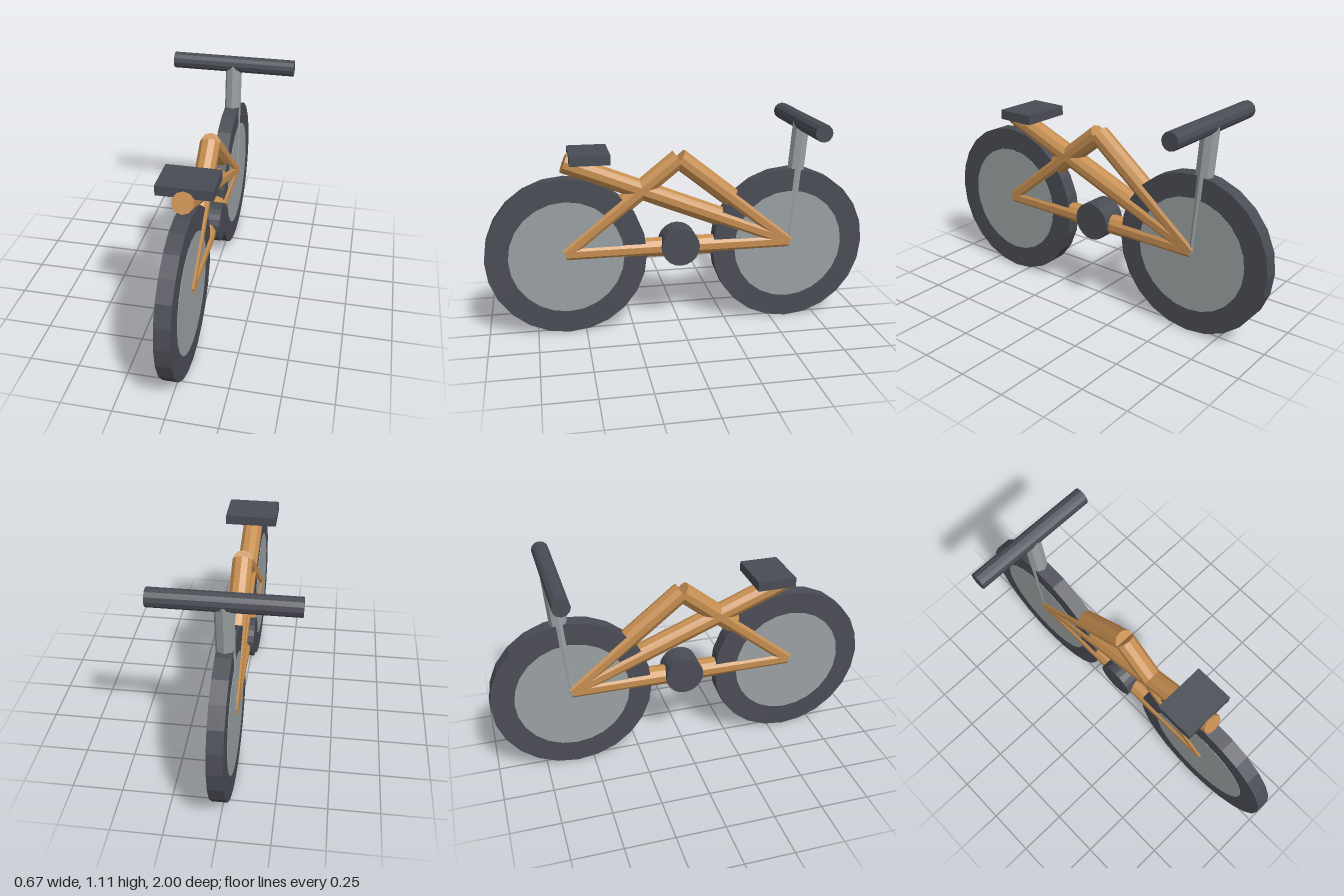
import * as THREE from 'three';

const paint = (color) => new THREE.MeshStandardMaterial({ color, flatShading: true });

export function createModel() {
  const bike = new THREE.Group();
  const wood = paint(0xc68e50);
  const dark = paint(0x4a4c55);
  const metal = paint(0x9aa0a2);

  const add = (name, geometry, material, x, y, z) => {
    const mesh = new THREE.Mesh(geometry, material);
    mesh.name = name;
    mesh.position.set(x, y, z);
    bike.add(mesh);
    return mesh;
  };

  // Straight rod between two [y, z] points on the centre plane
  const rod = (name, from, to, radius, sides, material) => {
    const a = new THREE.Vector3(0, ...from);
    const b = new THREE.Vector3(0, ...to);
    const dir = b.clone().sub(a);
    const mid = a.clone().add(b).multiplyScalar(0.5);
    const mesh = add(name, new THREE.CylinderGeometry(radius, radius, dir.length(), sides), material, mid.x, mid.y, mid.z);
    mesh.quaternion.setFromUnitVectors(new THREE.Vector3(0, 1, 0), dir.normalize());
  };

  // Cylinder lying across the bike
  const axle = (name, radius, width, sides, material, y, z) => {
    const geometry = new THREE.CylinderGeometry(radius, radius, width, sides).rotateZ(Math.PI / 2);
    add(name, geometry, material, 0, y, z);
  };

  // Wheels: solid tyre with a pale disc on both faces
  for (const [name, z] of [['rear', 0.587], ['front', -0.587]]) {
    axle(name + 'Tyre', 0.413, 0.076, 24, dark, 0.413, z);
    axle(name + 'WheelDisc', 0.295, 0.08, 24, metal, 0.413, z);
  }

  // Frame tubes
  const rearHub = [0.43, 0.59];
  const frontHub = [0.43, -0.59];
  const peak = [0.9, 0];
  rod('bottomTube', rearHub, frontHub, 0.052, 10, wood);
  rod('rearStay', rearHub, peak, 0.052, 10, wood);
  rod('frontStay', frontHub, peak, 0.052, 10, wood);
  rod('seatTube', frontHub, [0.9, 0.585], 0.052, 10, wood);

  // Crank drum, saddle and steering
  axle('crankDrum', 0.1, 0.135, 20, dark, 0.44, 0);
  add('seat', new THREE.BoxGeometry(0.267, 0.05, 0.2), dark, 0, 0.935, 0.46);
  rod('steeringPost', [0.43, -0.593], [1.065, -0.645], 0.045, 8, metal);
  axle('handlebar', 0.044, 0.67, 12, dark, 1.068, -0.645);

  return bike;
}
